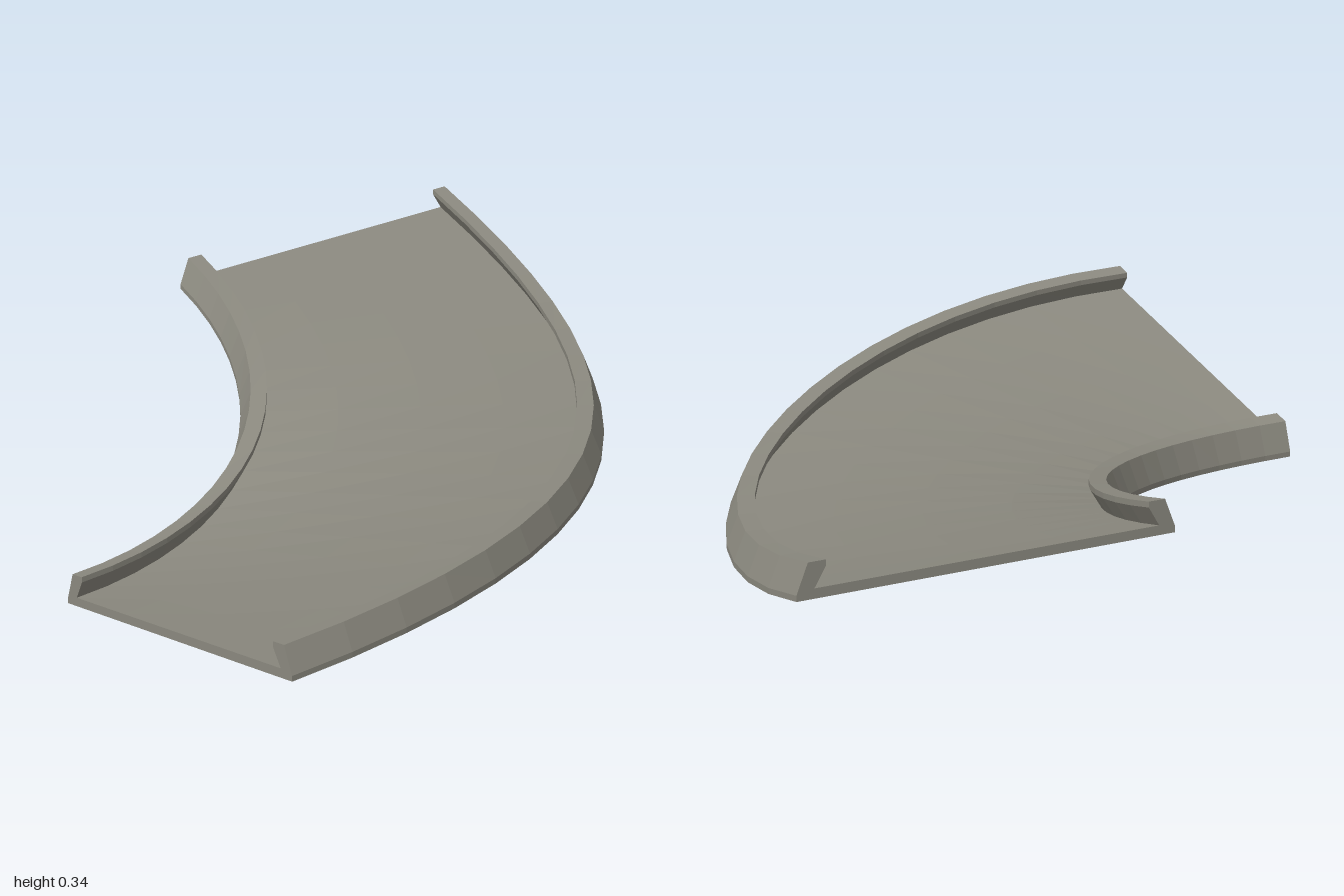
import * as THREE from 'three';

const SEGMENTS = 18;
const RISE = 0.255;
const SEAM = 0.045; // where the curbs meet the deck

// Point of the banked quarter turn: r from 1 (inner) to 2 (outer), h above the underside
function trackPoint(r, h, t) {
  const a = t * Math.PI / 2, s = Math.sin(a);
  const inner = 1 - s;                 // inner edge drops steadily
  const outer = 1 - 2 * s + 2 * s * s; // outer edge dips and climbs again
  const y = RISE * THREE.MathUtils.lerp(inner, outer, r - 1) + h;
  return [-1 + r * s, y, 1 - r * Math.cos(a)];
}

// Sweep a counter-clockwise [offset, height] profile along the turn, with end caps
function sweep(name, profile, material) {
  const pos = [];
  const tri = (a, b, c) => pos.push(...a, ...b, ...c);
  const at = (i, t) => {
    const p = profile[i % profile.length];
    return trackPoint(1 + p[0], p[1], t);
  };
  const isSeam = (i) => {
    const u = profile[i][0], v = profile[(i + 1) % profile.length][0];
    return u === v && (u === SEAM || u === 1 - SEAM);
  };
  for (let k = 0; k < SEGMENTS; k++) {
    const t0 = k / SEGMENTS, t1 = (k + 1) / SEGMENTS;
    for (let i = 0; i < profile.length; i++) {
      if (isSeam(i)) continue; // hidden joint
      const a = at(i, t0), b = at(i + 1, t0), c = at(i + 1, t1), d = at(i, t1);
      tri(a, b, c);
      tri(a, c, d);
    }
  }
  const faces = THREE.ShapeUtils.triangulateShape(profile.map(p => new THREE.Vector2(p[0], p[1])), []);
  for (const [a, b, c] of faces) {
    tri(at(a, 1), at(b, 1), at(c, 1));
    tri(at(a, 0), at(c, 0), at(b, 0));
  }
  const geometry = new THREE.BufferGeometry();
  geometry.setAttribute('position', new THREE.Float32BufferAttribute(pos, 3));
  geometry.computeVertexNormals();
  const mesh = new THREE.Mesh(geometry, material);
  mesh.name = name;
  return mesh;
}

export function createModel() {
  const group = new THREE.Group();
  group.name = 'bankedCurve';
  const stone = new THREE.MeshStandardMaterial({ color: 0x8c8a80 });
  stone.name = 'warm grey stone';

  // Thin deck, divided across its width so the twist stays even
  const cols = 4, deck = [];
  const across = (i) => i === cols ? 1 - SEAM : SEAM + (1 - 2 * SEAM) * i / cols;
  for (let i = 0; i <= cols; i++) deck.push([across(i), 0]);
  for (let i = cols; i >= 0; i--) deck.push([across(i), 0.025]);
  group.add(sweep('deck', deck, stone));

  // Curbs leaning in over the deck
  const curb = [[0, 0], [SEAM, 0], [SEAM, 0.025], [0.075, 0.075], [0.075, 0.09], [0.03, 0.09], [0, 0.015]];
  group.add(sweep('innerCurb', curb, stone));
  group.add(sweep('outerCurb', curb.map(([u, h]) => [1 - u, h]).reverse(), stone));
  return group;
}
